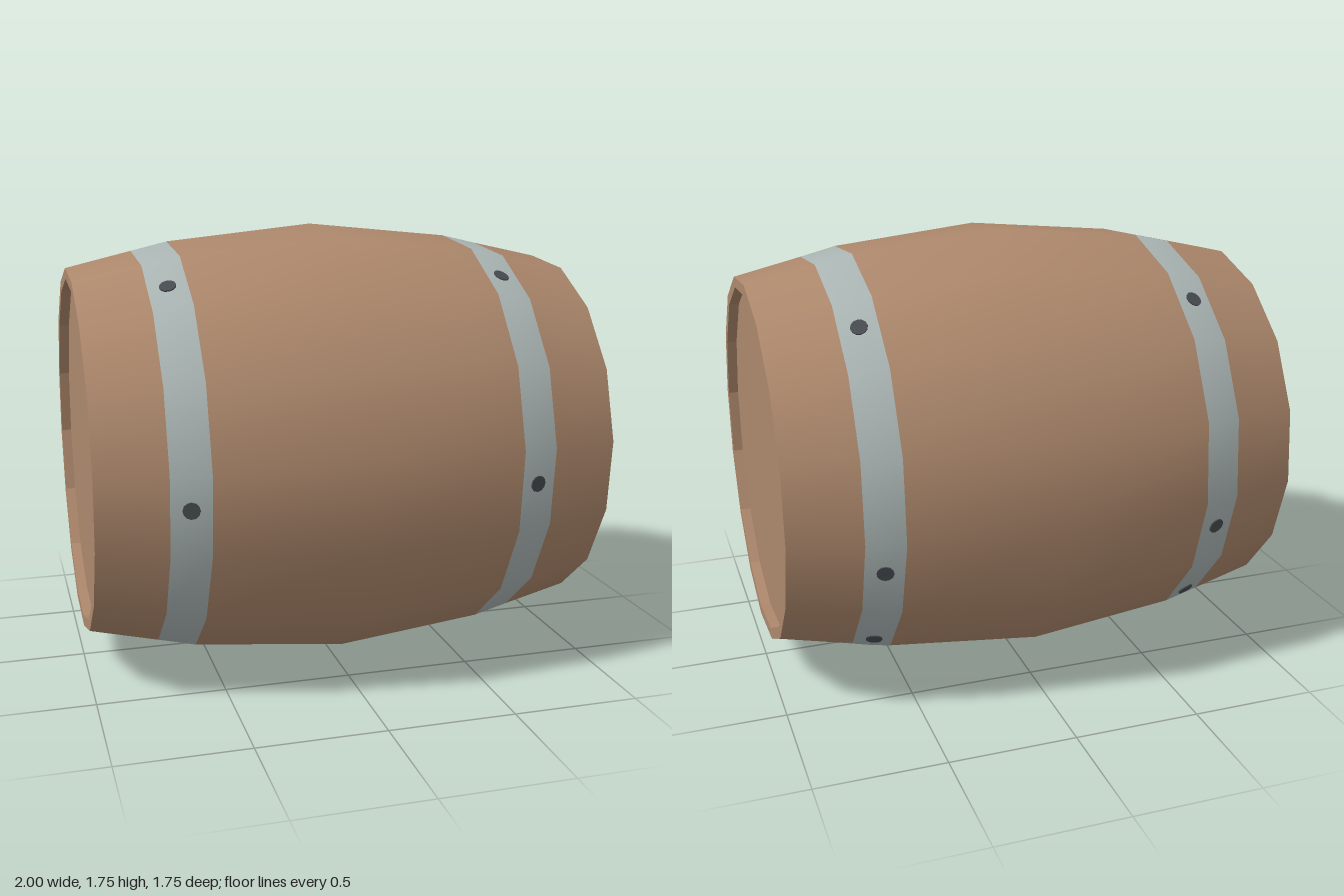
import * as THREE from 'three';

const SIDES = 16;
const STEP = (Math.PI * 2) / SIDES;
const TURN = THREE.MathUtils.degToRad(-5.9); // angle of one edge from the top, towards +z
const CENTRE_Y = 0.875;

const material = (name, color) => {
  const m = new THREE.MeshStandardMaterial({ color });
  m.name = name;
  return m;
};

// Turns a list of [radius, x] points around the x axis
function turned(points) {
  const profile = points.map(([r, x]) => new THREE.Vector2(r, x));
  return new THREE.LatheGeometry(profile, SIDES, TURN - Math.PI / 2, Math.PI * 2).rotateZ(-Math.PI / 2);
}

export function createModel() {
  const wood = material('wood', 0xad886c);
  const metal = material('metal', 0xabb6b4);
  const iron = material('rivet iron', 0x484c50);

  const model = new THREE.Group();
  model.name = 'barrel';
  const body = new THREE.Group();
  body.name = 'barrelBody';
  body.position.y = CENTRE_Y;
  model.add(body);

  const add = (name, geometry, mat, parent = body) => {
    const mesh = new THREE.Mesh(geometry, mat);
    mesh.name = name;
    parent.add(mesh);
    return mesh;
  };

  // Bulging staves, with the flush hoops as material groups
  const profile = [[0.725, -1], [0.786, -0.74], [0.82, -0.595], [0.88, 0],
    [0.82, 0.587], [0.786, 0.73], [0.725, 1]];
  const shell = turned(profile);
  const spans = profile.length - 1;
  for (let i = 0; i < SIDES; i++) {
    for (let j = 0; j < spans; j++) {
      shell.addGroup((i * spans + j) * 6, 6, j === 1 || j === 4 ? 1 : 0);
    }
  }
  add('stavesAndHoops', shell, [wood, metal]);

  // Rims with slightly recessed lids
  const rim = [[0.725, 1], [0.683, 1], [0.683, 0.96], [0, 0.96]];
  for (const side of [1, -1]) {
    const points = rim.map(([r, x]) => [r, x * side]);
    if (side < 0) points.reverse();
    const geometry = turned(points).toNonIndexed();
    geometry.computeVertexNormals();
    add(side > 0 ? 'leftLid' : 'rightLid', geometry, wood);
  }

  // Thin round rivets lying on the facets of both hoops
  const rivet = new THREE.CylinderGeometry(0.032, 0.032, 0.008, 12);
  const apothem = 0.804 * Math.cos(STEP / 2);
  for (const [x, tilt] of [[0.656, -0.23], [-0.667, 0.23]]) {
    for (const degrees of [29, 93.7, 161.6, -137, -105, -37]) {
      const angle = THREE.MathUtils.degToRad(degrees);
      const facet = TURN + (Math.floor((angle - TURN) / STEP) + 0.5) * STEP;
      const holder = new THREE.Group();
      holder.name = 'rivetHolder';
      holder.rotation.x = facet;
      body.add(holder);
      const mesh = add('rivet', rivet, iron, holder);
      mesh.position.set(x, apothem, apothem * Math.tan(angle - facet));
      mesh.rotation.z = tilt;
    }
  }
  return model;
}
